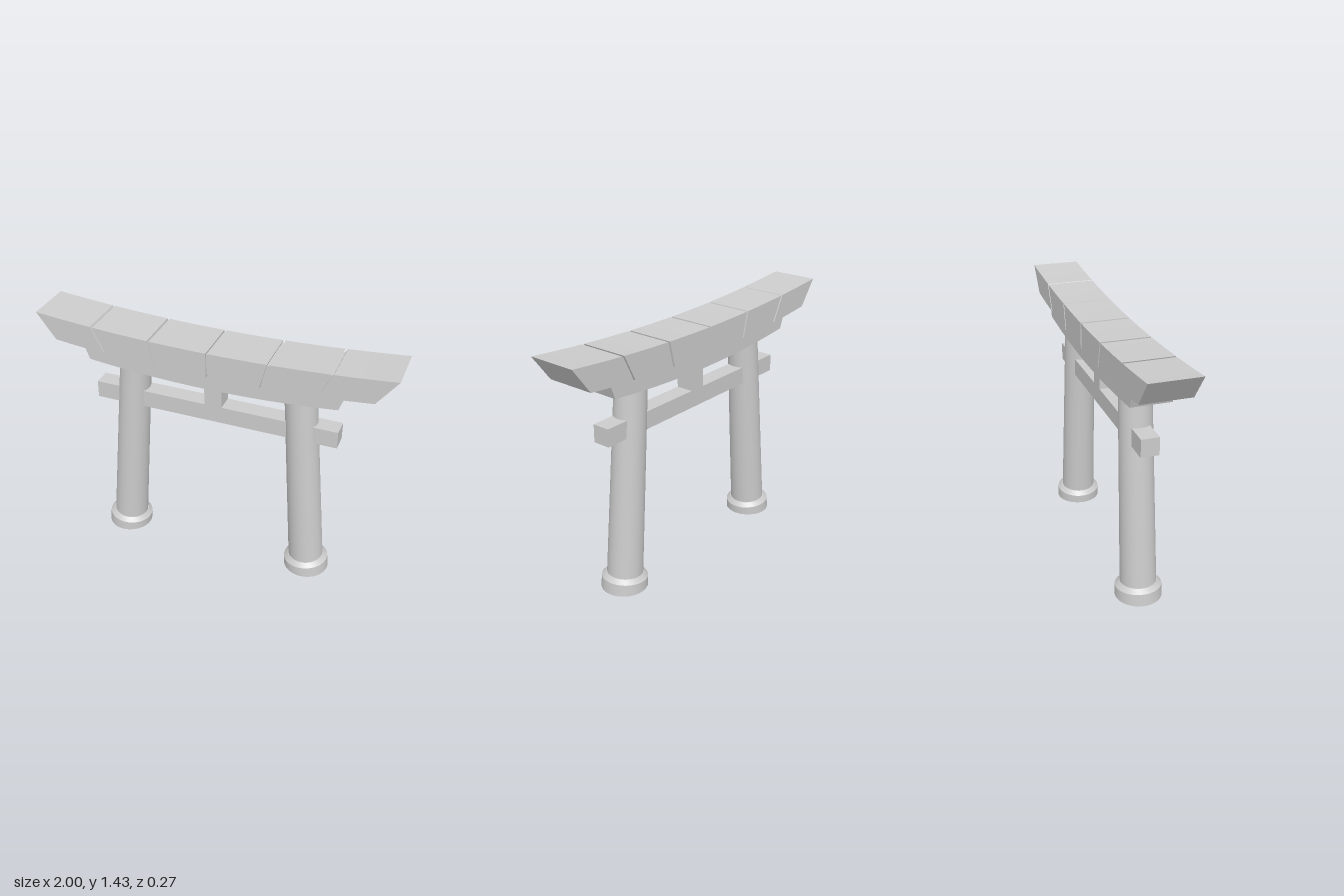
import * as THREE from 'three';
import { toCreasedNormals } from 'three/addons/utils/BufferGeometryUtils.js';

const material = new THREE.MeshStandardMaterial({ color: 0xcccccc });
const openMaterial = new THREE.MeshStandardMaterial({ color: 0xcccccc, side: THREE.DoubleSide });

// Bowed beam with slanted ends: t runs along the length, top and bottom give [x, y] for t.
function bowedBeam(name, t0, t1, top, bottom, depth, steps) {
  const points = [];
  for (let i = 0; i <= steps; i++) points.push(bottom(t0 + (t1 - t0) * i / steps));
  for (let i = steps; i >= 0; i--) points.push(top(t0 + (t1 - t0) * i / steps));
  const shape = new THREE.Shape(points.map(([x, y]) => new THREE.Vector2(x, y)));
  const geometry = new THREE.ExtrudeGeometry(shape, { depth, bevelEnabled: false });
  geometry.translate(0, 0, -depth / 2);
  const mesh = new THREE.Mesh(toCreasedNormals(geometry, 0.3), material);
  mesh.name = name;
  return mesh;
}

function box(name, w, h, d, y) {
  const mesh = new THREE.Mesh(new THREE.BoxGeometry(w, h, d), material);
  mesh.name = name;
  mesh.position.y = y;
  return mesh;
}

// Hollow tapered pillar with a collar at the foot, leaning towards the middle.
function pillar(name, side) {
  const profile = [[0.13, 0], [0.128, 0.06], [0.104, 0.083], [0.1, 0.083], [0.087, 1.19]]
    .map(([r, y]) => new THREE.Vector2(r, y));
  const geometry = new THREE.LatheGeometry(profile, 32);
  const p = geometry.attributes.position;
  const lean = 0.083;
  for (let i = 0; i < p.count; i++) {
    const x = p.getX(i), y = p.getY(i);
    // Rings tilt with the lean, while the foot stays flat on the ground.
    const tilted = y > 0 ? y + side * lean * x : 0;
    p.setXYZ(i, side * 0.575 + x - side * lean * y, tilted, p.getZ(i));
  }
  const mesh = new THREE.Mesh(toCreasedNormals(geometry, 0.3), openMaterial);
  mesh.name = name;
  return mesh;
}

export function createModel() {
  const gate = new THREE.Group();
  gate.name = 'gate';

  gate.add(pillar('leftPillar', 1), pillar('rightPillar', -1));

  // Tie beam through both pillars and the short strut above it
  gate.add(box('tieBeam', 1.41, 0.1, 0.1, 0.955));
  gate.add(box('centreStrut', 0.1, 0.16, 0.1, 1.075));

  // Lower bowed lintel
  gate.add(bowedBeam('lowerLintel', -1, 1,
    t => [0.735 * t, 1.233 + 0.034 * t * t],
    t => [0.705 * t, 1.145 + 0.04 * t * t], 0.22, 16));

  // Upper lintel: six blocks with narrow grooves, over a slightly smaller core
  const top = t => [t, 1.378 + 0.052 * t * t];
  const bottom = t => [0.89 * t, 1.232 + 0.051 * t * t];
  const inset = 0.012;
  const upper = new THREE.Group();
  upper.name = 'upperLintel';
  const halfGap = 0.007;
  for (let i = 0; i < 6; i++) {
    const t0 = -1 + i / 3 + (i > 0 ? halfGap : 0);
    const t1 = -1 + (i + 1) / 3 - (i < 5 ? halfGap : 0);
    upper.add(bowedBeam('lintelBlock' + (i + 1), t0, t1, top, bottom, 0.274, 4));
  }
  upper.add(bowedBeam('lintelCore', -0.9, 0.9,
    t => [top(t)[0], top(t)[1] - inset],
    t => [bottom(t)[0], bottom(t)[1] + inset], 0.274 - 2 * inset, 16));
  gate.add(upper);

  return gate;
}
